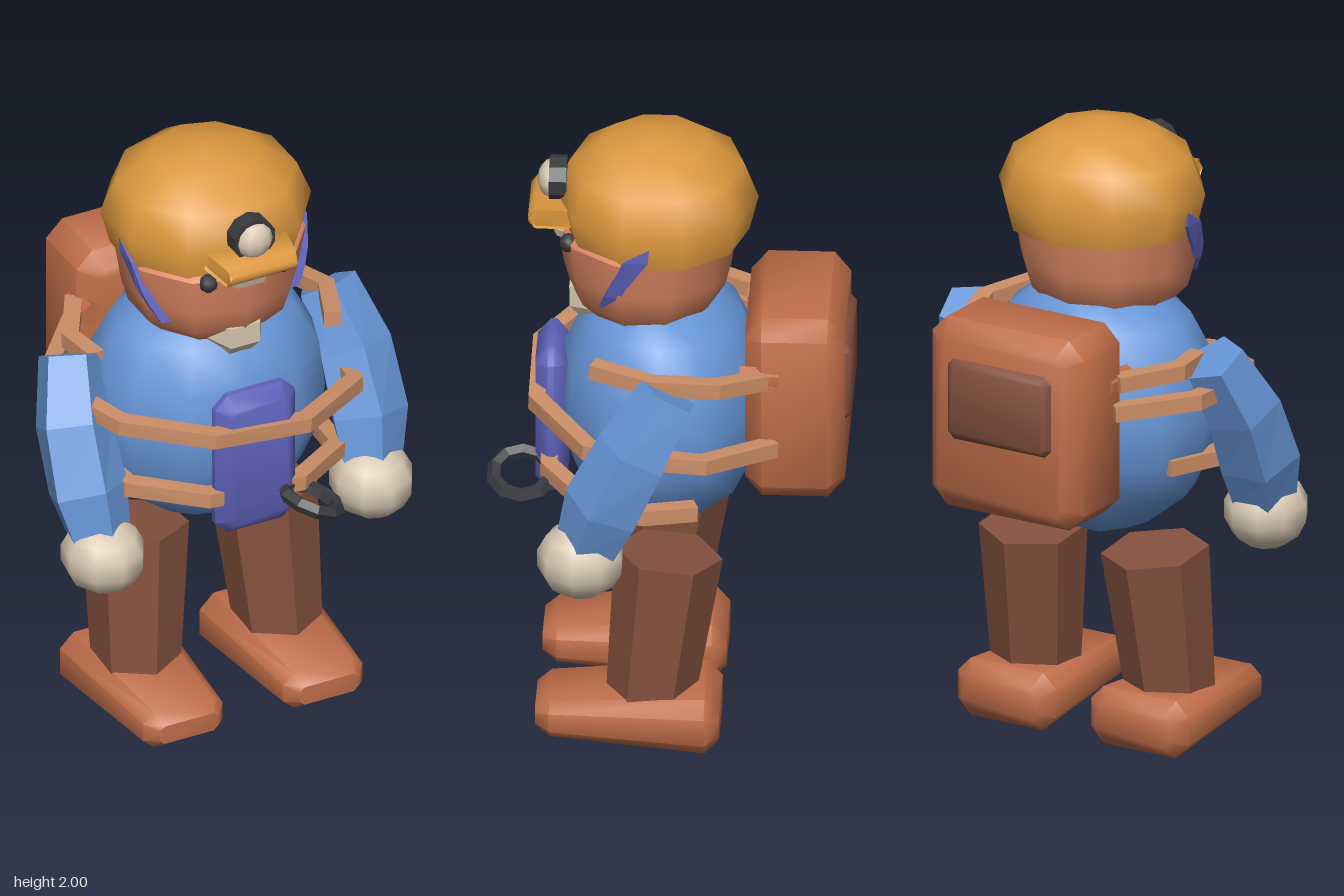
import * as THREE from 'three';
import { toCreasedNormals } from 'three/addons/utils/BufferGeometryUtils.js';

const colours = {
  blueCloth: 0x6695d6, skin: 0xd98562, brownCloth: 0x85513f, rustLeather: 0xbf6d49, tanStrap: 0xcb8e67,
  purple: 0x6064bd, darkMetal: 0x38393d, cream: 0xd9c9b3, hatYellow: 0xdd983e,
};

const V = (x, y, z) => new THREE.Vector3(x, y, z);
const flat = (g) => toCreasedNormals(g, 0.05);
const smooth = (g) => toCreasedNormals(g, 0.9);

// Sweeps a cross-section along points, with closed ends and flat faces
function sweep(path, sectionAt, ref) {
  const rings = path.map((p, i) => {
    const t = path[Math.min(i + 1, path.length - 1)].clone().sub(path[Math.max(i - 1, 0)]).normalize();
    const s = ref.clone().cross(t).normalize();
    const u = t.clone().cross(s);
    return sectionAt(i).map(([a, b]) => p.clone().addScaledVector(s, a).addScaledVector(u, b));
  });
  const pts = [];
  const n = rings[0].length, last = rings[rings.length - 1];
  for (let i = 0; i < rings.length - 1; i++) {
    for (let j = 0; j < n; j++) {
      const k = (j + 1) % n, A = rings[i], B = rings[i + 1];
      pts.push(A[j], A[k], B[k], A[j], B[k], B[j]);
    }
  }
  for (let j = 1; j < n - 1; j++) {
    pts.push(rings[0][0], rings[0][j + 1], rings[0][j], last[0], last[j], last[j + 1]);
  }
  const g = new THREE.BufferGeometry().setFromPoints(pts);
  g.computeVertexNormals();
  return g;
}

const ngon = (n, r, start) => Array.from({ length: n }, (_, i) => {
  const a = start + (i / n) * Math.PI * 2;
  return [r * Math.cos(a), r * Math.sin(a)];
});

const limb = (points, radii, sides, start = Math.PI / 2) =>
  sweep(points, (i) => ngon(sides, radii[i], start), V(0, 0, 1));

function strap(points, h = 0.05, t = 0.055) {
  const rect = [[-t / 2, -h / 2], [t / 2, -h / 2], [t / 2, h / 2], [-t / 2, h / 2]];
  return sweep(points.map((p) => V(...p)), () => rect, V(0, 1, 0));
}

function ball(rx, ry, rz, w = 10, h = 7) {
  return new THREE.SphereGeometry(1, w, h).rotateY(Math.PI / 2).scale(rx, ry, rz);
}

const lathe = (profile, sides = 10) =>
  smooth(new THREE.LatheGeometry(profile.map(([r, y]) => new THREE.Vector2(r, y)), sides));

// Box with every edge cut off by c
function chamferBox(w, h, d, c) {
  const a = w / 2 - c, b = h / 2 - c, k = c * 0.5;
  const outline = [[a, k - b], [a, b - k], [a - k, b], [k - a, b], [-a, b - k], [-a, k - b], [k - a, -b], [a - k, -b]];
  return new THREE.ExtrudeGeometry(new THREE.Shape(outline.map((p) => new THREE.Vector2(...p))), {
    depth: d - 2 * c, bevelEnabled: true, bevelSize: c, bevelThickness: c, bevelSegments: 1,
  }).translate(0, 0, c - d / 2);
}

// Moves every vertex by a rule
function warp(g, rule) {
  const p = g.attributes.position, v = V(0, 0, 0);
  for (let i = 0; i < p.count; i++) {
    rule(v.fromBufferAttribute(p, i));
    p.setXYZ(i, v.x, v.y, v.z);
  }
  g.computeVertexNormals();
  return g;
}

export function createModel() {
  const model = new THREE.Group();
  model.name = 'explorer';
  const mats = {};
  for (const [name, color] of Object.entries(colours)) {
    mats[name] = new THREE.MeshStandardMaterial({ color });
    mats[name].name = name;
  }
  const add = (name, geometry, mat, x = 0, y = 0, z = 0) => {
    const m = new THREE.Mesh(geometry, mats[mat]);
    m.name = name;
    m.position.set(x, y, z);
    model.add(m);
    return m;
  };

  // Torso and head
  add('torso', lathe([[0, 0.635], [0.175, 0.7], [0.315, 0.81], [0.38, 0.95], [0.395, 1.08], [0.375, 1.24],
    [0.3, 1.375], [0.2, 1.45], [0, 1.47]], 12).scale(1, 1, 0.83), 'blueCloth', 0, 0, 0.028);
  add('head', lathe([[0, 1.38], [0.2, 1.4], [0.262, 1.46], [0.285, 1.54], [0.305, 1.67], [0.25, 1.71], [0, 1.73]])
    .scale(1, 1, 0.92), 'skin', 0, 0, 0.075);

  // Beard tip and the pale patch between the eyes
  add('beard', limb([V(0, 1.47, 0.23), V(0, 1.41, 0.23), V(0, 1.365, 0.215)], [0.1, 0.1, 0.07], 6, 0), 'cream');
  add('brow', limb([V(0, 1.672, 0.28), V(0, 1.643, 0.28)], [0.1, 0.088], 6, 0), 'cream');

  // Hat with brim and lamp
  add('hat', lathe([[0, 1.66], [0.305, 1.66], [0.335, 1.775], [0.288, 1.89], [0.175, 1.965], [0, 2]])
    .scale(1, 1, 0.945), 'hatYellow', 0, 0, 0.045);
  const brim = warp(chamferBox(0.34, 0.064, 0.15, 0.022), (v) => {
    v.x *= 0.9 - v.z * 1.3;
    v.y -= v.z * 0.08;
  });
  add('hatBrim', smooth(brim), 'hatYellow', 0, 1.745, 0.367);
  add('lampHousing', flat(new THREE.CylinderGeometry(0.074, 0.074, 0.055, 10).rotateX(Math.PI / 2)),
    'darkMetal', 0, 1.823, 0.352);
  add('lampLens', ball(0.062, 0.062, 0.045, 10, 6), 'cream', 0, 1.823, 0.373);

  // Purple front pouch
  add('frontPouch', smooth(chamferBox(0.28, 0.505, 0.1, 0.04)), 'purple', 0, 1.022, 0.37);

  // Mirrored parts
  for (const s of [1, -1]) {
    const side = s > 0 ? 'left' : 'right';
    add(side + 'Eye', ball(0.03, 0.03, 0.03, 8, 6), 'darkMetal', s * 0.13, 1.665, 0.315);

    // Ear flap, leaning outward toward the top
    const blade = new THREE.Shape([[-0.055, 1.74], [-0.06, 1.69], [-0.13, 1.585], [-0.145, 1.55], [-0.215, 1.49],
      [-0.195, 1.55], [-0.175, 1.6], [-0.135, 1.69]].map((p) => new THREE.Vector2(...p)));
    const flap = new THREE.ExtrudeGeometry(blade, { depth: 0.038, bevelEnabled: false });
    flap.rotateY(Math.PI / 2);
    warp(flap, (v) => { v.x += s * (0.222 + (v.y - 1.49) * 0.28 + 0.02 * Math.sin((v.y - 1.49) * 12.8)) - 0.019; });
    add(side + 'EarFlap', flap, 'purple');

    add(side + 'Arm', limb([V(s * 0.45, 1.305, -0.015), V(s * 0.49, 1.12, 0.09), V(s * 0.49, 0.93, 0.185),
      V(s * 0.475, 0.79, 0.235)], [0.1, 0.125, 0.132, 0.105], 5, Math.PI / 2 + s * 0.07), 'blueCloth');
    add(side + 'Hand', ball(0.135, 0.125, 0.14, 9, 7), 'cream', s * 0.47, 0.732, 0.26);

    add(side + 'Leg', limb([V(s * 0.225, 0.63, -0.002), V(s * 0.248, 0.15, 0.052)], [0.17, 0.14], 6), 'brownCloth');

    // Boot, thinner and narrower toward the toe
    const boot = warp(chamferBox(0.37, 0.19, 0.575, 0.045), (v) => {
      const t = v.z / 0.575 + 0.5, k = v.y / 0.19 + 0.5;
      v.x *= 1 - 0.27 * t;
      v.y = THREE.MathUtils.lerp(0.04 * t, 0.195 - 0.033 * t, k);
    });
    add(side + 'Boot', smooth(boot), 'rustLeather', s * 0.245, 0, 0.122);

    add(side + 'StrapAnchor', flat(new THREE.CylinderGeometry(0.04, 0.03, 0.12, 6).rotateX(Math.PI / 2)),
      'rustLeather', s * 0.262, 1.275, -0.285);
  }

  // Backpack
  add('backpack', smooth(chamferBox(0.56, 0.625, 0.31, 0.052)), 'rustLeather', 0, 1.152, -0.395);
  add('backpackPocket', smooth(chamferBox(0.38, 0.265, 0.06, 0.02)), 'brownCloth', 0, 1.217, -0.54);

  // Straps around the body
  add('chestStrap', strap([[-0.28, 1.19, -0.33], [-0.455, 1.2, -0.12], [-0.46, 1.2, 0.1], [-0.4, 1.185, 0.25],
    [-0.16, 1.155, 0.412], [0.16, 1.12, 0.412], [0.42, 1.09, 0.24], [0.45, 1.075, 0.04], [0.445, 1.06, -0.12],
    [0.28, 1.04, -0.33]]), 'tanStrap');
  add('waistStrap', strap([[-0.33, 0.95, -0.1], [-0.39, 0.945, 0.07], [-0.365, 0.935, 0.23], [-0.16, 0.915, 0.375],
    [0.16, 0.885, 0.375], [0.365, 0.86, 0.23], [0.385, 0.845, 0.07], [0.33, 0.835, -0.09]]), 'tanStrap');
  add('leftShoulderStrap', strap([[0.35, 1.34, 0.23], [0.425, 1.325, 0.04], [0.38, 1.295, -0.16],
    [0.28, 1.275, -0.3]]), 'tanStrap');
  add('rightShoulderStrap', strap([[-0.37, 1.285, 0.02], [-0.39, 1.285, -0.12], [-0.28, 1.28, -0.31]]), 'tanStrap');

  // Ring hanging from the waist strap
  const ring = flat(new THREE.TorusGeometry(0.09, 0.024, 5, 10).rotateX(Math.PI / 2));
  add('waistRing', ring, 'darkMetal', 0.157, 0.862, 0.458).rotation.z = -0.42;

  return model;
}
